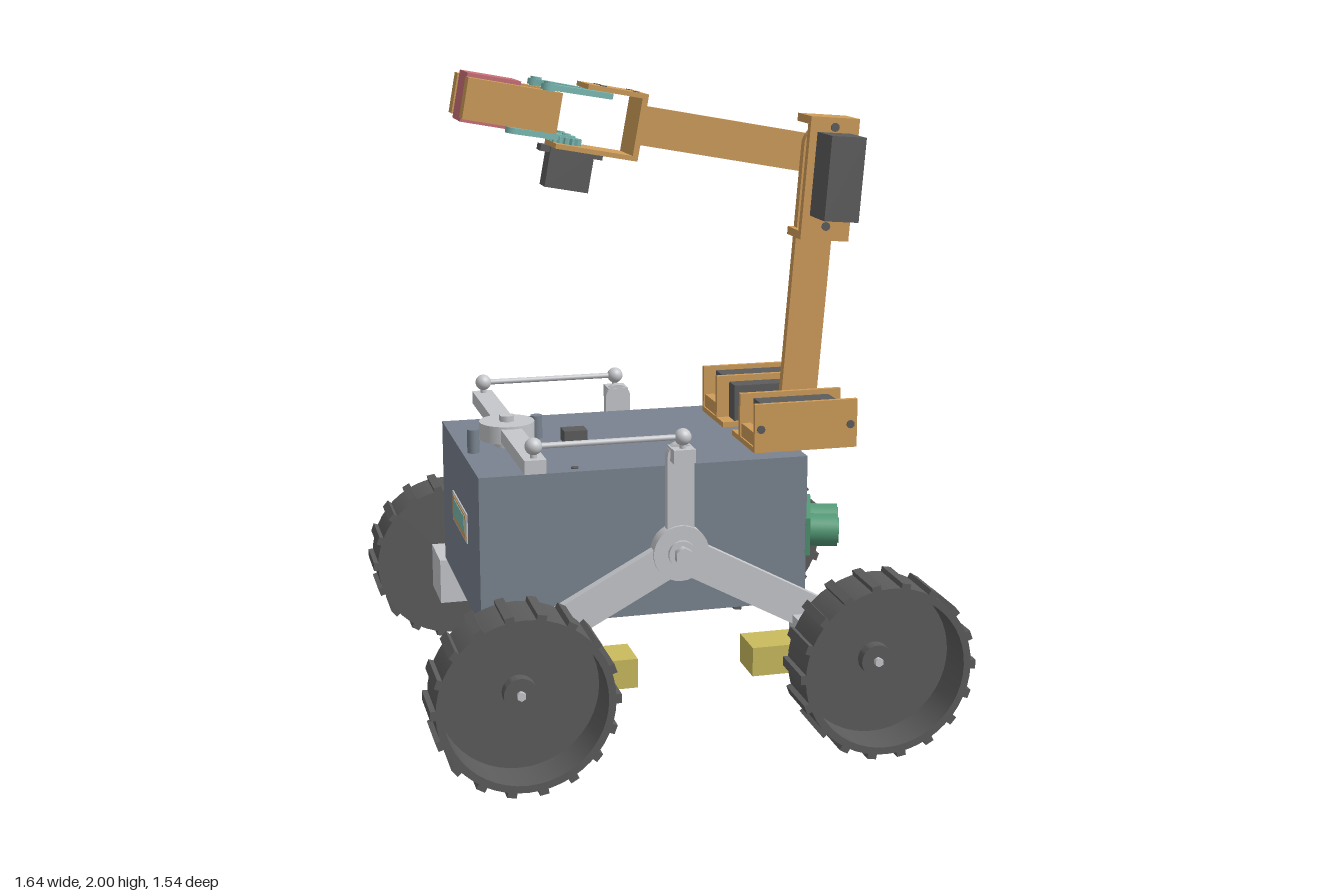
import * as THREE from 'three';
import { toCreasedNormals } from 'three/addons/utils/BufferGeometryUtils.js';

const mat = (name, color) => Object.assign(new THREE.MeshStandardMaterial({ color }), { name });
const M = {
  body: mat('slate body', 0x79838f), grey: mat('light grey', 0xc6c7cb), dark: mat('charcoal', 0x5c5c5c),
  wood: mat('orange wood', 0xcf9c59), green: mat('sensor green', 0x549c78), yellow: mat('motor yellow', 0xcabb5e),
  teal: mat('teal', 0x7bbab4), red: mat('red', 0xca7077),
};

function add(parent, name, geo, m, x = 0, y = 0, z = 0) {
  const mesh = new THREE.Mesh(geo, m);
  mesh.name = name;
  mesh.position.set(x, y, z);
  parent.add(mesh);
  return mesh;
}
// Box given by its limits on each axis
function box(parent, name, m, x0, x1, y0, y1, z0, z1) {
  const g = new THREE.BoxGeometry(Math.abs(x1 - x0), Math.abs(y1 - y0), Math.abs(z1 - z0));
  return add(parent, name, g, m, (x0 + x1) / 2, (y0 + y1) / 2, (z0 + z1) / 2);
}
// Cylinder centred on a point, along the x, y or z axis
function cyl(parent, name, m, r, len, axis, x, y, z, seg = 28) {
  const g = new THREE.CylinderGeometry(r, r, len, seg);
  if (axis === 'x') g.rotateZ(Math.PI / 2);
  if (axis === 'z') g.rotateX(Math.PI / 2);
  return add(parent, name, g, m, x, y, z);
}
// Flat link with rounded ends between two points of the xy plane, centred on z = 0
function linkGeo(x0, y0, x1, y1, w, t) {
  const len = Math.hypot(x1 - x0, y1 - y0), r = w / 2, s = new THREE.Shape();
  s.absarc(len, 0, r, -Math.PI / 2, Math.PI / 2);
  s.absarc(0, 0, r, Math.PI / 2, Math.PI * 1.5);
  s.closePath();
  const g = new THREE.ExtrudeGeometry(s, { depth: t, bevelEnabled: false, curveSegments: 12 });
  return g.translate(0, 0, -t / 2).rotateZ(Math.atan2(y1 - y0, x1 - x0)).translate(x0, y0, 0);
}
// Extruded prism with its outline in the xz plane, from y0 to y1
function prismY(points, y0, y1) {
  const s = new THREE.Shape(points.map(([x, z]) => new THREE.Vector2(x, -z)));
  return new THREE.ExtrudeGeometry(s, { depth: y1 - y0, bevelEnabled: false }).rotateX(-Math.PI / 2).translate(0, y0, 0);
}

// Cup-shaped wheel, open on its outer side, with cleats around the tread
function wheel(parent, x, s) {
  const g = new THREE.Group();
  g.name = 'wheel';
  g.position.set(x, 0.275, s * 0.6);
  g.rotation.x = s * Math.PI / 2;
  parent.add(g);
  const profile = [[0, 0], [0.26, 0], [0.26, 0.168], [0.238, 0.168], [0.238, 0.04], [0.05, 0.04], [0.05, 0.075], [0, 0.075]];
  const geo = new THREE.LatheGeometry(profile.map(p => new THREE.Vector2(...p)), 48);
  add(g, 'wheelCup', toCreasedNormals(geo, 0.5), M.dark);
  cyl(g, 'axleTip', M.grey, 0.014, 0.02, 'y', 0, 0.08, 0, 6);
  for (let i = 0; i < 18; i++) {
    const a = i * Math.PI / 9;
    const c = box(g, 'cleat', M.dark, -0.014, 0.014, 0, 0.168, -0.012, 0.012);
    c.position.set(Math.cos(a) * 0.263, 0.084, Math.sin(a) * 0.263);
    c.rotation.y = -a + Math.PI / 2;
  }
}

function rockerSide(parent, s) {
  const g = new THREE.Group();
  g.name = s > 0 ? 'frontRocker' : 'rearRocker';
  parent.add(g);
  cyl(g, 'pivotCollar', M.body, 0.036, 0.04, 'z', 0, 0.58, s * 0.37);
  cyl(g, 'rockerHub', M.grey, 0.087, 0.045, 'z', 0, 0.58, s * 0.405);
  cyl(g, 'pivotWasher', M.grey, 0.042, 0.012, 'z', 0, 0.58, s * 0.433);
  cyl(g, 'pivotBolt', M.grey, 0.028, 0.03, 'z', 0, 0.58, s * 0.448, 6);
  box(g, 'rockerMast', M.grey, -0.042, 0.042, 0.58, 0.88, s * 0.388, s * 0.418);
  add(g, 'mastTop', linkGeo(0, 0.88, 0, 0.881, 0.084, 0.03), M.grey, 0, 0, s * 0.403);
  box(g, 'mastBallMount', M.grey, -0.034, 0.034, 0.87, 0.912, s * 0.385, s * 0.46);
  for (const x of [-0.453, 0]) {
    cyl(g, 'ballStem', M.grey, 0.01, 0.04, 'y', x, 0.92, s * 0.435, 12);
    add(g, 'ballJoint', new THREE.SphereGeometry(0.026, 20, 14), M.grey, x, 0.947, s * 0.435);
  }
  cyl(g, 'tieRod', M.grey, 0.009, 0.453, 'x', -0.2265, 0.947, s * 0.435, 12);
  for (const e of [-1, 1]) {
    const leg = box(g, 'rockerLeg', M.grey, -0.3, 0.3, -0.055, 0.055, -0.016, 0.016);
    leg.position.set(e * 0.262, 0.437, s * 0.404);
    leg.rotation.z = -e * 0.494;
    box(g, 'motorHousing', M.grey, e * 0.36, e * 0.62, 0.2, 0.35, s * 0.385, s * 0.575);
    box(g, 'gearMotor', M.yellow, e * 0.178, e * 0.6, 0.23, 0.32, s * 0.46, s * 0.59);
    cyl(g, 'motorShaft', M.yellow, 0.02, 0.03, 'z', e * 0.545, 0.275, s * 0.592, 16);
    wheel(g, e * 0.545, s);
  }
}

// Pair of round sensors on a plate turned outwards
function sensor(parent, s) {
  add(parent, 'sensorWedge', prismY([[0.415, s * 0.35], [0.415, s * 0.115], [0.505, s * 0.115], [0.43, s * 0.35]], 0.525, 0.64), M.wood);
  const g = new THREE.Group();
  g.name = 'rangeSensor';
  g.position.set(0.465, 0.583, s * 0.243);
  g.rotation.y = -s * 0.33;
  parent.add(g);
  box(g, 'sensorPlate', M.green, -0.008, 0.008, -0.06, 0.06, -0.137, 0.137);
  for (const z of [-0.056, 0.056]) {
    cyl(g, 'sensorEye', M.green, 0.051, 0.085, 'x', 0.05, 0, z);
    cyl(g, 'sensorMesh', M.green, 0.04, 0.006, 'x', 0.094, 0, z);
  }
}

function armBase(parent, s) {
  const w = (...a) => box(parent, ...a);
  w('servoTray', M.wood, 0.27, 0.605, 0.84, 0.857, s * 0.05, s * 0.29);
  w('outerBracket', M.wood, 0.27, 0.605, 0.857, 0.995, s * 0.277, s * 0.292);
  w('innerBracket', M.wood, 0.27, 0.605, 0.857, 0.995, s * 0.122, s * 0.138);
  w('outerServo', M.dark, 0.312, 0.56, 0.857, 0.98, s * 0.145, s * 0.277);
  w('innerServo', M.dark, 0.312, 0.56, 0.857, 0.975, s * 0.06, s * 0.122);
  cyl(parent, 'servoHorn', M.grey, 0.035, 0.045, 'z', 0.5, 0.905, s * 0.037);
  for (const x of [0.29, 0.583]) {
    w('servoPost', M.wood, x - 0.015, x + 0.015, 0.857, 0.9, s * 0.14, s * 0.277);
    cyl(parent, 'bracketScrew', M.dark, 0.013, 0.006, 'z', x, 0.915, s * 0.293, 12);
  }
}

// Lower link with the elbow servo and its frame, leaning slightly
function lowerArm(parent) {
  const g = new THREE.Group();
  g.name = 'lowerArm';
  g.position.set(0.503, 0.9, 0);
  g.rotation.z = -0.078;
  parent.add(g);
  add(g, 'lowerLink', linkGeo(0, 0, 0, 0.86, 0.12, 0.03), M.wood);
  for (const [y0, y1] of [[0.57, 0.647], [0.908, 0.955]]) box(g, 'elbowFrameBar', M.wood, -0.08, 0.08, y0, y1, 0.09, 0.115);
  for (const e of [-1, 1]) box(g, 'elbowFrameSide', M.wood, e * 0.055, e * 0.08, 0.647, 0.908, 0.09, 0.115);
  for (const y of [0.57, 0.93]) box(g, 'elbowFrameCap', M.wood, -0.08, 0.08, y, y + 0.025, -0.015, 0.092);
  box(g, 'elbowServo', M.dark, -0.056, 0.056, 0.647, 0.908, 0.03, 0.25);
  for (const y of [0.615, 0.925]) cyl(g, 'frameScrew', M.dark, 0.014, 0.006, 'z', 0, y, 0.116, 12);
  cyl(g, 'elbowHorn', M.grey, 0.045, 0.03, 'z', 0.005, 0.83, -0.026);
}

// Toothed disc lying in the xz plane
function gearGeo(r, teeth, t) {
  const pts = [];
  for (let i = 0; i < teeth * 4; i++) {
    const a = i * Math.PI / (teeth * 2), q = i % 4 < 2 ? r : r * 0.8;
    pts.push([Math.cos(a) * q, -Math.sin(a) * q]);
  }
  return prismY(pts, -t / 2, t / 2);
}

// Upper link with the wrist bracket and gripper, in a frame pointing along -x
function upperArm(parent) {
  const g = new THREE.Group();
  g.name = 'upperArm';
  g.position.set(-0.02, 1.83, -0.05);
  g.rotation.z = -0.18;
  parent.add(g);
  const link = linkGeo(0.06, 0, 0.598, 0, 0.122, 0.02);
  add(g, 'upperLink', link, M.wood);
  box(g, 'linkFoot', M.wood, 0, 0.08, -0.061, 0.061, -0.01, 0.01);
  for (let i = 0; i < 4; i++) {
    const a = i * Math.PI / 2;
    cyl(g, 'elbowScrew', M.dark, 0.01, 0.006, 'z', 0.598 + 0.035 * Math.cos(a), 0.035 * Math.sin(a), -0.011, 10);
  }
  box(g, 'wristPlate', M.wood, -0.016, 0.002, -0.1, 0.1, -0.083, 0.083);
  box(g, 'wristTop', M.wood, -0.19, 0.002, 0.085, 0.1, -0.083, 0.083);
  box(g, 'wristBottom', M.wood, -0.26, 0.002, -0.108, -0.093, -0.083, 0.083);
  for (const x of [-0.135, -0.03]) for (const z of [-0.045, 0.045]) cyl(g, 'wristHole', M.dark, 0.011, 0.004, 'y', x, 0.1, z, 12);
  box(g, 'gripperServo', M.dark, -0.255, -0.115, -0.235, -0.108, -0.08, -0.003);
  for (const x of [-0.27, -0.1]) box(g, 'gripperServoTab', M.dark, x - 0.015, x + 0.015, -0.128, -0.108, -0.07, -0.013);
  box(g, 'gripBlock', M.red, -0.56, -0.395, -0.074, 0.074, -0.074, 0.074);
  for (const s of [-1, 1]) {
    box(g, 'finger', M.wood, -0.565, -0.275, -0.062, 0.062, s * 0.075, s * 0.132);
    const top = linkGeo(-0.315, s * 0.108, -0.125, s * 0.045, 0.05, 0.018).rotateX(Math.PI / 2);
    add(g, 'topFingerLink', top, M.teal, 0, 0.074, 0);
    const low = linkGeo(-0.4, s * 0.1, -0.22, s * 0.042, 0.05, 0.018).rotateX(Math.PI / 2);
    add(g, 'lowerFingerLink', low, M.teal, 0, -0.073, 0);
    const gear = add(g, 'fingerGear', gearGeo(0.05, 14, 0.02), M.teal, -0.225, -0.08, s * 0.045);
    gear.rotation.y = s > 0 ? 0 : Math.PI / 14;
    cyl(g, 'linkPin', M.teal, 0.018, 0.03, 'y', -0.315, 0.075, s * 0.108, 16);
    cyl(g, 'gearPin', M.teal, 0.014, 0.03, 'y', -0.225, -0.075, s * 0.045, 16);
  }
}

export function createModel() {
  const root = new THREE.Group();
  root.name = 'armRover';

  box(root, 'body', M.body, -0.605, 0.42, 0.37, 0.84, -0.36, 0.36);
  for (const z of [-0.32, 0.32]) cyl(root, 'lidScrew', M.dark, 0.012, 0.006, 'y', -0.305, 0.841, z, 12);

  // Rear slot showing a framed inlay
  box(root, 'slotFrame', M.grey, -0.609, -0.604, 0.57, 0.665, -0.14, 0.14);
  box(root, 'slotInlay', M.wood, -0.611, -0.604, 0.578, 0.657, -0.13, 0.13);
  box(root, 'slotPanel', M.teal, -0.613, -0.604, 0.595, 0.65, -0.09, 0.11);

  // Differential bar on the lid
  cyl(root, 'barPost', M.grey, 0.04, 0.03, 'y', -0.453, 0.852, 0);
  cyl(root, 'barHub', M.grey, 0.087, 0.055, 'y', -0.453, 0.892, 0);
  cyl(root, 'barBolt', M.grey, 0.025, 0.02, 'y', -0.453, 0.928, 0, 6);
  box(root, 'differentialBar', M.grey, -0.486, -0.42, 0.87, 0.912, -0.465, 0.465);
  cyl(root, 'stopPost', M.body, 0.019, 0.075, 'y', -0.57, 0.877, 0.06, 16);
  cyl(root, 'stopPost', M.body, 0.019, 0.075, 'y', -0.345, 0.877, -0.07, 16);
  box(root, 'lidSwitch', M.dark, -0.275, -0.2, 0.84, 0.88, -0.03, 0.03);

  for (const s of [-1, 1]) {
    rockerSide(root, s);
    sensor(root, s);
    armBase(root, s);
  }
  lowerArm(root);
  upperArm(root);
  return root;
}
